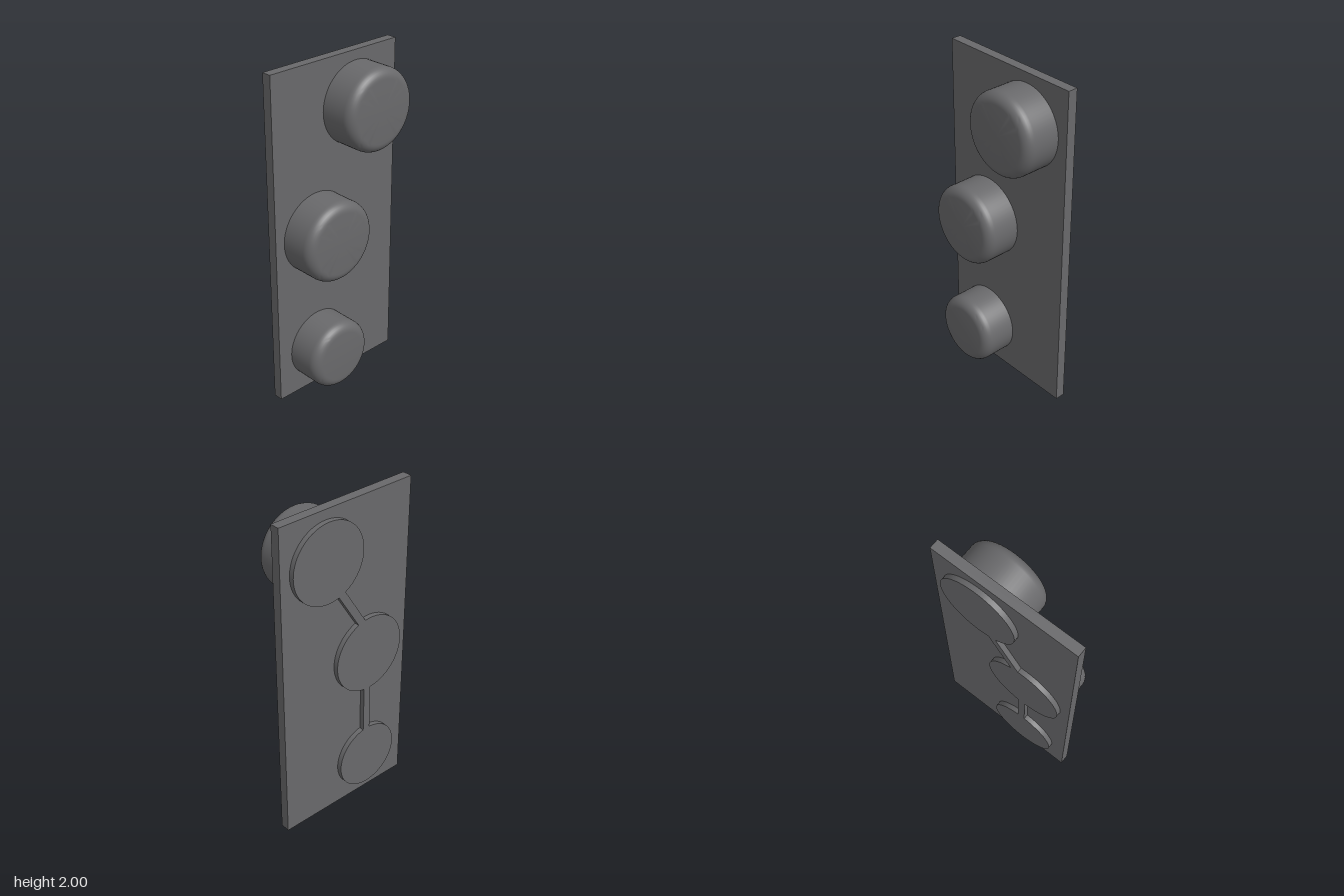
import * as THREE from 'three';
import { toCreasedNormals } from 'three/addons/utils/BufferGeometryUtils.js';

const BACK = -0.15, FRONT = 0.149;
const PLATE_BACK = -0.12, PLATE_FRONT = -0.062;

export function createModel() {
  const group = new THREE.Group();
  const material = new THREE.MeshStandardMaterial({ color: 0x69696b });

  const add = (name, geometry, x, y, z) => {
    const mesh = new THREE.Mesh(geometry, material);
    mesh.name = name;
    mesh.position.set(x, y, z);
    group.add(mesh);
    return mesh;
  };

  // Round button with a flat back and a filleted front rim
  const button = (name, x, y, r) => {
    const fillet = 0.058;
    const profile = [new THREE.Vector2(0, BACK), new THREE.Vector2(r, BACK)];
    for (let i = 0; i <= 8; i++) {
      const a = (i / 8) * Math.PI / 2;
      profile.push(new THREE.Vector2(
        r - fillet + fillet * Math.cos(a),
        FRONT - fillet + fillet * Math.sin(a)));
    }
    profile.push(new THREE.Vector2(0, FRONT));
    const geometry = new THREE.LatheGeometry(profile, 64).rotateX(Math.PI / 2);
    add(name, toCreasedNormals(geometry, Math.PI / 5), x, y, 0);
  };

  // Narrow raised strip on the back, joining two buttons
  const bridge = (name, x0, y0, x1, y1) => {
    const dx = x1 - x0, dy = y1 - y0;
    const depth = PLATE_BACK - BACK + 0.02;
    const geometry = new THREE.BoxGeometry(0.048, Math.hypot(dx, dy), depth);
    const mesh = add(name, geometry, (x0 + x1) / 2, (y0 + y1) / 2, BACK + depth / 2);
    mesh.rotation.z = -Math.atan2(dx, dy);
  };

  // Backing plate
  add('plate', new THREE.BoxGeometry(0.894, 2, PLATE_FRONT - PLATE_BACK),
    0, 1, (PLATE_FRONT + PLATE_BACK) / 2);

  button('upperButton', 0.147, 1.703, 0.239);
  button('middleButton', -0.149, 1.014, 0.239);
  button('lowerButton', -0.149, 0.272, 0.209);

  // Bridge ends are sunk slightly into the buttons
  bridge('upperBridge', -0.104, 1.218, 0.082, 1.522);
  bridge('lowerBridge', -0.138, 0.46, -0.138, 0.797);

  return group;
}
